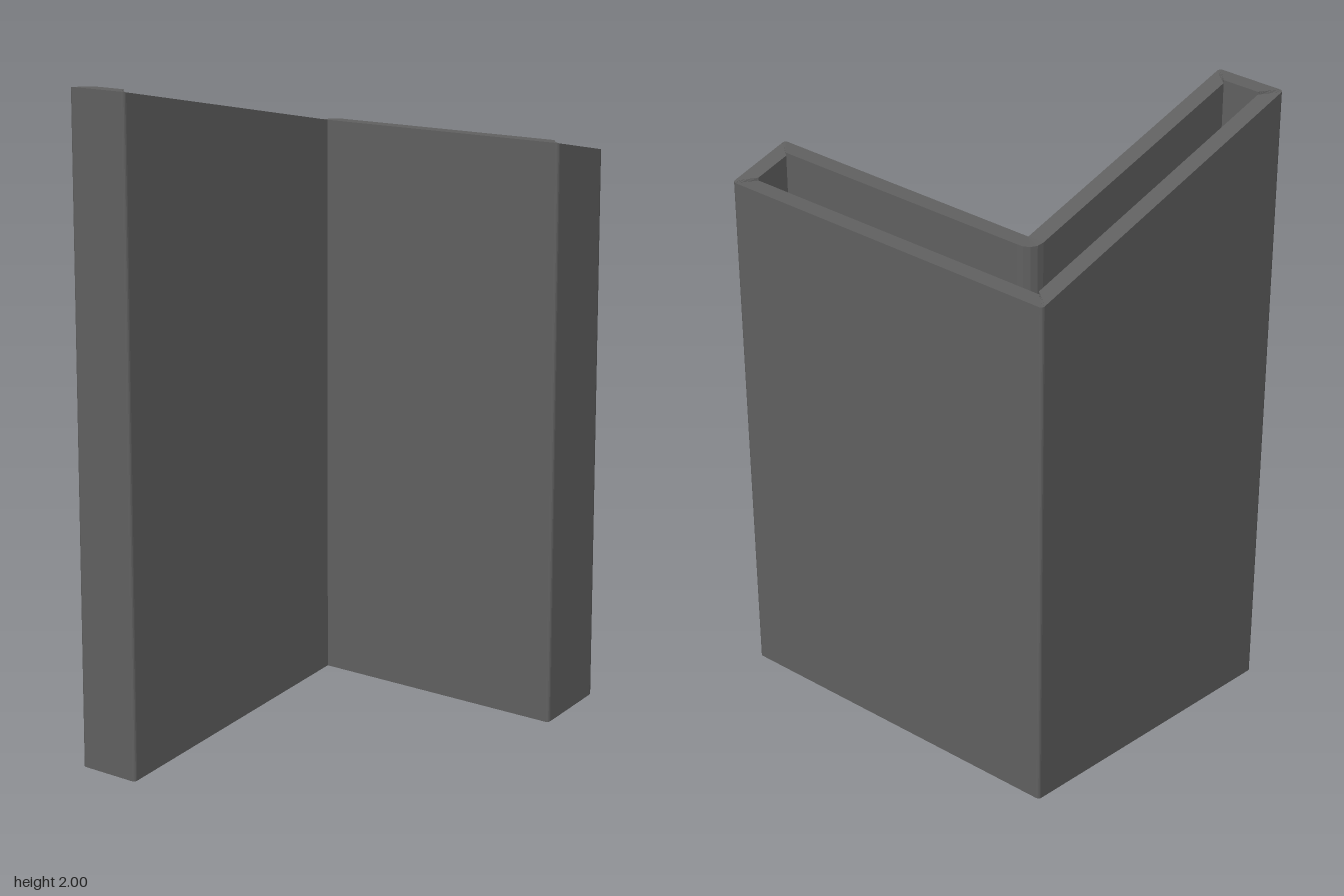
import * as THREE from 'three';

const HALF = 0.533, INNER = 0.32, WALL = 0.05, ROUND = 0.01, STEPS = 4;

// Corners of the L-shaped outline as [x, z]; the fifth one is the inside bend
const corners = [
  [-HALF, -HALF], [HALF, -HALF], [HALF, HALF],
  [INNER, HALF], [INNER, -INNER], [-HALF, -INNER],
].map(([x, z]) => new THREE.Vector2(x, z));
const BEND = 4;

// Height of the lower rim, which slopes up towards +x; the upper rim mirrors it
const rim = (x) => 0.19 * (x + HALF) / (2 * HALF);

// Cross-sections of the wall (outer bottom, outer top, inner top, inner bottom)
function wallSections() {
  const sections = [];
  corners.forEach((p, i) => {
    const n = corners.length;
    const din = p.clone().sub(corners[(i + n - 1) % n]).normalize();
    const dout = corners[(i + 1) % n].clone().sub(p).normalize();
    const inward = dout.clone().sub(din);
    for (let s = 0; s <= STEPS; s++) {
      const f = s / STEPS, t = f * Math.PI / 2;
      const arc = dout.clone().multiplyScalar(-Math.cos(t)).addScaledVector(din, Math.sin(t));
      let outer = p, inner;
      if (i === BEND) {
        inner = p.clone().addScaledVector(arc, WALL);
      } else {
        outer = p.clone().addScaledVector(inward, ROUND).addScaledVector(arc, ROUND);
        inner = p.clone().addScaledVector(inward, WALL);
      }
      // walls along x have a sloping rim, walls along z a level one
      const slope = Math.abs(din.x) > 0.5 ? 1 - f : f;
      const yOut = rim(outer.x);
      const yIn = THREE.MathUtils.lerp(rim(p.x), rim(inner.x), slope);
      sections.push([[outer, yOut], [outer, 2 - yOut], [inner, 2 - yIn], [inner, yIn]]
        .map(([v, y]) => new THREE.Vector3(v.x, y, v.y)));
    }
  });
  return sections;
}

// Join neighbouring sections into a closed ring, leaving out collapsed triangles
function ringGeometry(sections) {
  const pos = [];
  const tri = (a, b, c) => {
    if (new THREE.Triangle(a, b, c).getArea() > 1e-8) {
      for (const v of [a, b, c]) pos.push(v.x, v.y, v.z);
    }
  };
  sections.forEach((a, i) => {
    const b = sections[(i + 1) % sections.length];
    for (let k = 0; k < 4; k++) {
      const m = (k + 1) % 4;
      tri(a[k], a[m], b[m]);
      tri(a[k], b[m], b[k]);
    }
  });
  const g = new THREE.BufferGeometry();
  g.setAttribute('position', new THREE.Float32BufferAttribute(pos, 3));
  g.computeVertexNormals();
  return g;
}

export function createModel() {
  const group = new THREE.Group();
  group.name = 'cornerSleeve';
  const material = new THREE.MeshStandardMaterial({ color: 0x606060 });
  // Hollow L-shaped wall, open at top and bottom
  const wall = new THREE.Mesh(ringGeometry(wallSections()), material);
  wall.name = 'sleeveWall';
  group.add(wall);
  return group;
}
